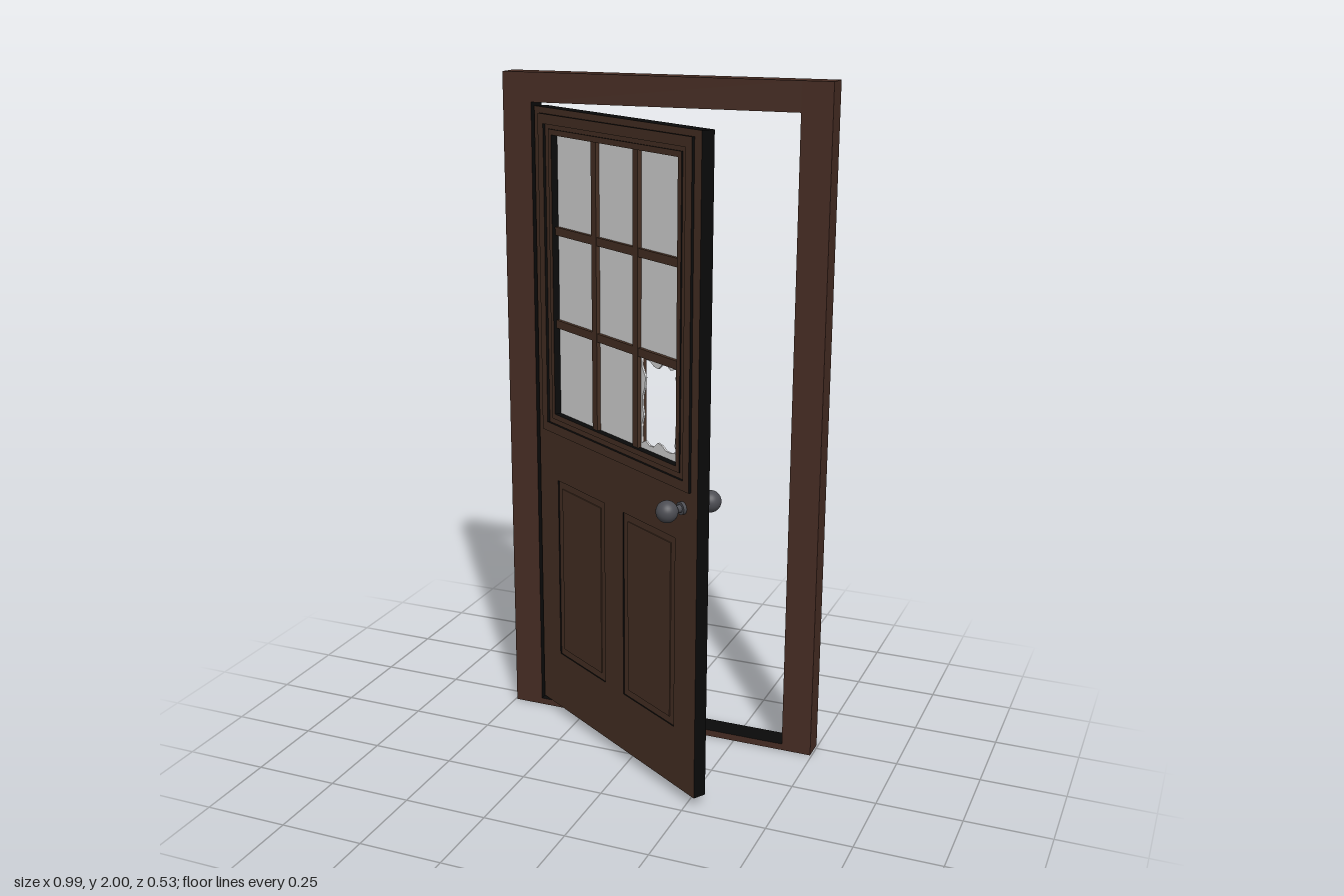
import * as THREE from 'three';

const mat = (name, color) => {
  const m = new THREE.MeshStandardMaterial({ color });
  m.name = name;
  return m;
};

export function createModel() {
  const frameWood = mat('frame wood', 0x462c23);
  const doorWood = mat('door wood', 0x463024);
  const black = mat('black edge', 0x0a0a0a);
  const glass = mat('pale glass', 0xd9d9d9);
  const metal = mat('dark metal', 0x4c4d53);

  const model = new THREE.Group();
  model.name = 'openDoor';

  const add = (parent, name, geometry, material, x = 0, y = 0, z = 0) => {
    const mesh = new THREE.Mesh(geometry, material);
    mesh.name = name;
    mesh.position.set(x, y, z);
    parent.add(mesh);
    return mesh;
  };
  // Box given by its x and y limits, centred on z
  const slab = (parent, name, [x0, x1, y0, y1], depth, material, z = 0) =>
    add(parent, name, new THREE.BoxGeometry(x1 - x0, y1 - y0, depth), material,
      (x0 + x1) / 2, (y0 + y1) / 2, z);
  const rectPoints = ([x0, x1, y0, y1]) => [
    new THREE.Vector2(x0, y0), new THREE.Vector2(x1, y0),
    new THREE.Vector2(x1, y1), new THREE.Vector2(x0, y1)];
  // Flat plate with holes, centred on z
  const plate = (parent, name, outer, holes, depth, materials) => {
    const shape = new THREE.Shape(rectPoints(outer));
    holes.forEach((points) => shape.holes.push(new THREE.Path(points)));
    const geometry = new THREE.ExtrudeGeometry(shape, { depth, bevelEnabled: false });
    geometry.translate(0, 0, -depth / 2);
    return add(parent, name, geometry, materials);
  };
  const inset = ([x0, x1, y0, y1], d) => [x0 + d, x1 - d, y0 + d, y1 - d];

  // Door frame: wood outside, black on the faces lining the opening
  const frame = new THREE.Group();
  frame.name = 'doorFrame';
  frame.position.z = -0.235;
  model.add(frame);
  const lined = (face) => Array.from({ length: 6 }, (_, i) => (i === face ? black : frameWood));
  slab(frame, 'rightJamb', [-0.495, -0.405, 0, 2], 0.07, lined(0));
  slab(frame, 'leftJamb', [0.405, 0.495, 0, 2], 0.07, lined(1));
  slab(frame, 'header', [-0.405, 0.405, 1.915, 2], 0.07, lined(3));
  slab(frame, 'threshold', [-0.405, 0.405, 0, 0.02], 0.07, lined(2));

  // Door leaf, swung open about its hinge edge
  const door = new THREE.Group();
  door.name = 'door';
  door.position.set(-0.387, 0, -0.223);
  door.rotation.y = -THREE.MathUtils.degToRad(32.5);
  model.add(door);

  const opening = [0.095, 0.705, 1.0, 1.83];
  const panels = [[0.1, 0.352, 0.215, 0.79], [0.448, 0.7, 0.215, 0.79]];
  plate(door, 'doorLeaf', [0, 0.8, 0.03, 1.905],
    [opening, ...panels].map(rectPoints), 0.04, [doorWood, black]);

  // Lower panels with a raised field
  panels.forEach((p) => {
    slab(door, 'recessedPanel', p, 0.032, doorWood);
    slab(door, 'raisedField', inset(p, 0.022), 0.038, doorWood);
  });

  // Window mouldings, outer and inner
  const moulding = [0.03, 0.77, 0.94, 1.887];
  plate(door, 'outerMoulding', moulding, [rectPoints(inset(moulding, 0.028))], 0.056, [doorWood, black]);
  plate(door, 'innerMoulding', inset(opening, -0.016), [rectPoints(opening)], 0.048, [doorWood, black]);

  // Glazing bars and panes, three by three
  const w = (opening[1] - opening[0]) / 3;
  const h = (opening[3] - opening[2]) / 3;
  for (let i = 1; i < 3; i++) {
    const x = opening[0] + i * w;
    const y = opening[2] + i * h;
    slab(door, 'verticalBar', [x - 0.012, x + 0.012, opening[2], opening[3]], 0.03, doorWood);
    slab(door, 'horizontalBar', [opening[0], opening[1], y - 0.012, y + 0.012], 0.028, doorWood);
  }
  for (let row = 0; row < 3; row++) {
    for (let col = 0; col < 3; col++) {
      const x = opening[0] + col * w;
      const y = opening[2] + row * h;
      const pane = [x, x + w, y, y + h];
      if (row > 0 || col < 2) {
        slab(door, 'pane', pane, 0.006, glass);
        continue;
      }
      // Broken pane: a ragged hole leaves shards along the edges
      const hole = [];
      const corners = rectPoints(inset(pane, 0.014));
      const jag = [0.004, 0.016, 0.002, 0.011, 0.005, 0.019, 0.001];
      corners.forEach((a, side) => {
        const b = corners[(side + 1) % 4];
        const inward = new THREE.Vector2(a.y - b.y, b.x - a.x).normalize();
        for (let k = 0; k < 9; k++) {
          const depth = k === 0 ? 0 : jag[(k * 3 + side * 2) % 7];
          hole.push(a.clone().lerp(b, k / 9).addScaledVector(inward, depth));
        }
      });
      plate(door, 'brokenPane', pane, [hole], 0.006, glass);
    }
  }

  // Knobs on both faces
  const knobs = new THREE.Group();
  knobs.name = 'knobs';
  knobs.position.set(0.735, 0.888, 0);
  door.add(knobs);
  for (const s of [1, -1]) {
    add(knobs, 'knob', new THREE.SphereGeometry(0.031, 32, 20), metal, 0, 0, s * 0.0735);
    add(knobs, 'knobStem', new THREE.CylinderGeometry(0.011, 0.011, 0.05, 20), metal, 0, 0, s * 0.035).rotation.x = Math.PI / 2;
    add(knobs, 'knobRose', new THREE.CylinderGeometry(0.018, 0.018, 0.012, 24), metal, 0, 0, s * 0.024).rotation.x = Math.PI / 2;
  }
  return model;
}
